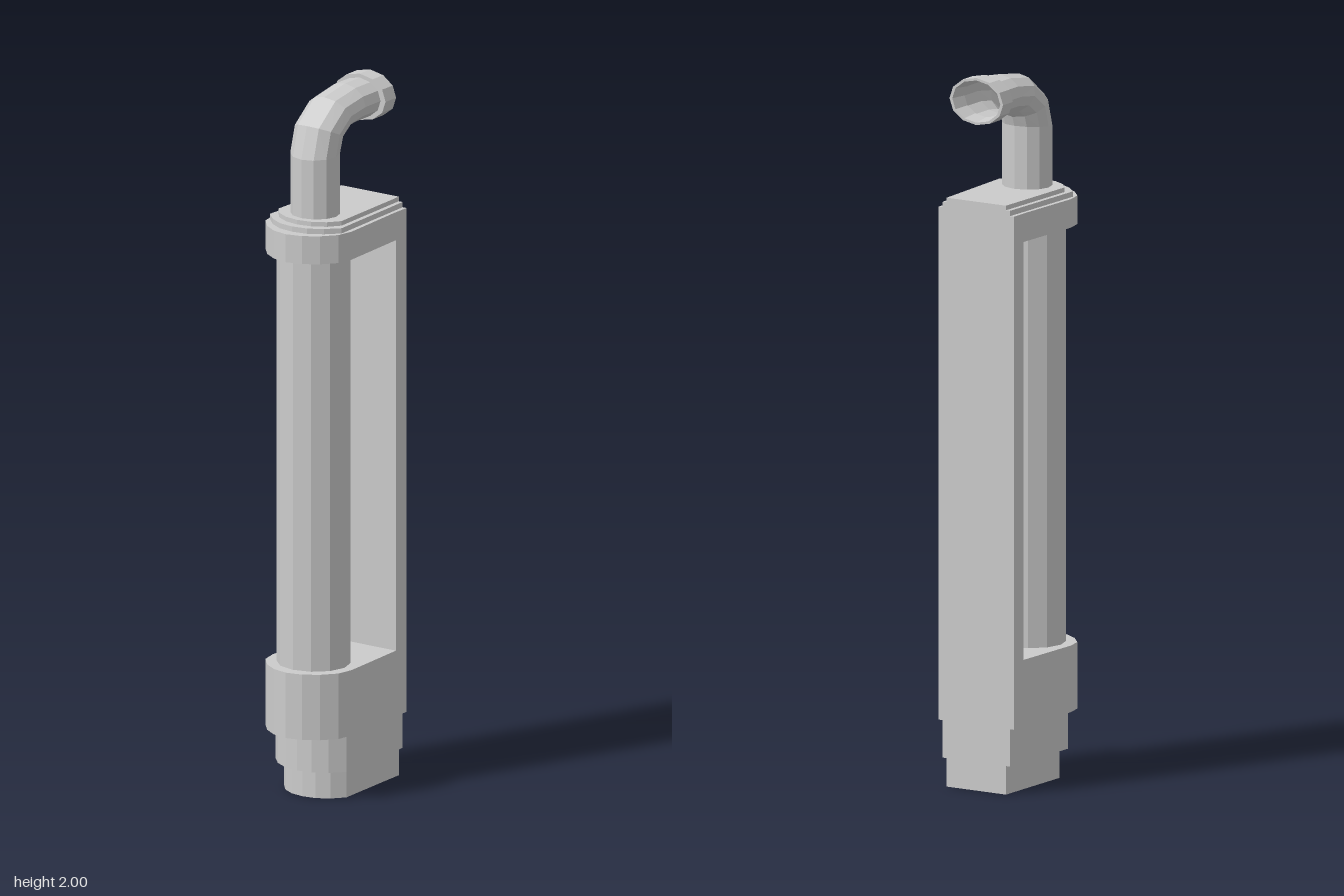
import * as THREE from 'three';

const SIDES = 12;
const grey = new THREE.MeshStandardMaterial({ color: 0xcccccc, flatShading: true });
const greyOpen = new THREE.MeshStandardMaterial({ color: 0xcccccc, flatShading: true, side: THREE.DoubleSide });

// Block with a rounded nose towards -x and a flat end at x = 0.2, from y0 to y1.
// half lists [x, z] from the flat end to the tip of the nose.
function noseBlock(name, half, y0, y1) {
  const mirrored = half.slice(0, -1).reverse().map(([x, z]) => [x, -z]);
  const shape = new THREE.Shape([...half, ...mirrored].map(([x, z]) => new THREE.Vector2(x, z)));
  const geo = new THREE.ExtrudeGeometry(shape, { depth: y1 - y0, bevelEnabled: false });
  geo.rotateX(-Math.PI / 2).translate(0, y0, 0);
  const mesh = new THREE.Mesh(geo, grey);
  mesh.name = name;
  return mesh;
}

// Skin through oval rings; each ring is [outerX, outerY, innerX, innerY, halfDepth]
function loft(name, rings) {
  const pos = [], index = [];
  for (const [ox, oy, ix, iy, rz] of rings) {
    for (let j = 0; j < SIDES; j++) {
      const a = (j / SIDES) * Math.PI * 2, c = Math.cos(a) / 2;
      pos.push((ox + ix) / 2 + (ox - ix) * c, (oy + iy) / 2 + (oy - iy) * c, rz * Math.sin(a));
    }
  }
  for (let i = 0; i < rings.length - 1; i++) {
    for (let j = 0; j < SIDES; j++) {
      const a = i * SIDES + j, b = i * SIDES + ((j + 1) % SIDES);
      index.push(a, b, a + SIDES, b, b + SIDES, a + SIDES);
    }
  }
  const geo = new THREE.BufferGeometry();
  geo.setAttribute('position', new THREE.Float32BufferAttribute(pos, 3));
  geo.setIndex(index);
  geo.computeVertexNormals();
  const mesh = new THREE.Mesh(geo, greyOpen);
  mesh.name = name;
  return mesh;
}

export function createModel() {
  const group = new THREE.Group();

  // Nested outlines shared by the top and bottom steps
  const wide = [[0.2, 0.122], [0.15, 0.122], [-0.075, 0.133], [-0.123, 0.123], [-0.163, 0.089], [-0.19, 0.047], [-0.2, 0]];
  const middle = [[0.2, 0.109], [0.15, 0.111], [-0.105, 0.121], [-0.14, 0.086], [-0.163, 0.046], [-0.17, 0]];
  const narrow = [[0.2, 0.096], [0.15, 0.098], [-0.085, 0.106], [-0.118, 0.08], [-0.139, 0.042], [-0.146, 0]];
  const baseStep = [[0.2, 0.109], [0.15, 0.11], [-0.08, 0.12], [-0.118, 0.085], [-0.14, 0.044], [-0.147, 0]];
  const foot = [[0.2, 0.097], [0.15, 0.098], [-0.06, 0.105], [-0.095, 0.076], [-0.115, 0.04], [-0.121, 0]];

  // Stepped base and cap
  group.add(
    noseBlock('foot', foot, 0, 0.08),
    noseBlock('baseStep', baseStep, 0.08, 0.185),
    noseBlock('baseBlock', wide, 0.185, 0.372),
    noseBlock('capBlock', wide, 1.545, 1.625),
    noseBlock('capStep', middle, 1.625, 1.64),
    noseBlock('capTop', narrow, 1.64, 1.653),
  );

  // Flat back plate joining base and cap
  const plate = new THREE.Mesh(new THREE.BoxGeometry(0.05, 1.173, 0.244), grey);
  plate.position.set(0.175, 0.9585, 0);
  plate.name = 'backPlate';
  group.add(plate);

  // Main cylinder, slightly oval
  group.add(loft('mainTube', [
    [-0.166, 0.372, 0.03, 0.372, 0.104],
    [-0.166, 1.545, 0.03, 1.545, 0.104],
  ]));

  // Bent outlet pipe
  group.add(loft('outletPipe', [
    [-0.126, 1.653, 0.005, 1.653, 0.07],
    [-0.126, 1.82, 0.005, 1.83, 0.07],
    [-0.1, 1.91, 0.015, 1.857, 0.07],
    [-0.018, 1.973, 0.04, 1.873, 0.07],
    [0.08, 1.989, 0.08, 1.878, 0.07],
    [0.15, 1.989, 0.15, 1.878, 0.07],
  ]));

  // Open collar at the pipe mouth: back shoulder, outside, rim, bore
  const cy = 1.934;
  const oval = (x, r) => [x, cy + r * 0.76, x, cy - r * 0.76, r];
  group.add(loft('pipeCollar', [
    oval(0.15, 0.07), oval(0.15, 0.087), oval(0.2, 0.087), oval(0.2, 0.078), oval(0.15, 0.07),
  ]));

  return group;
}
